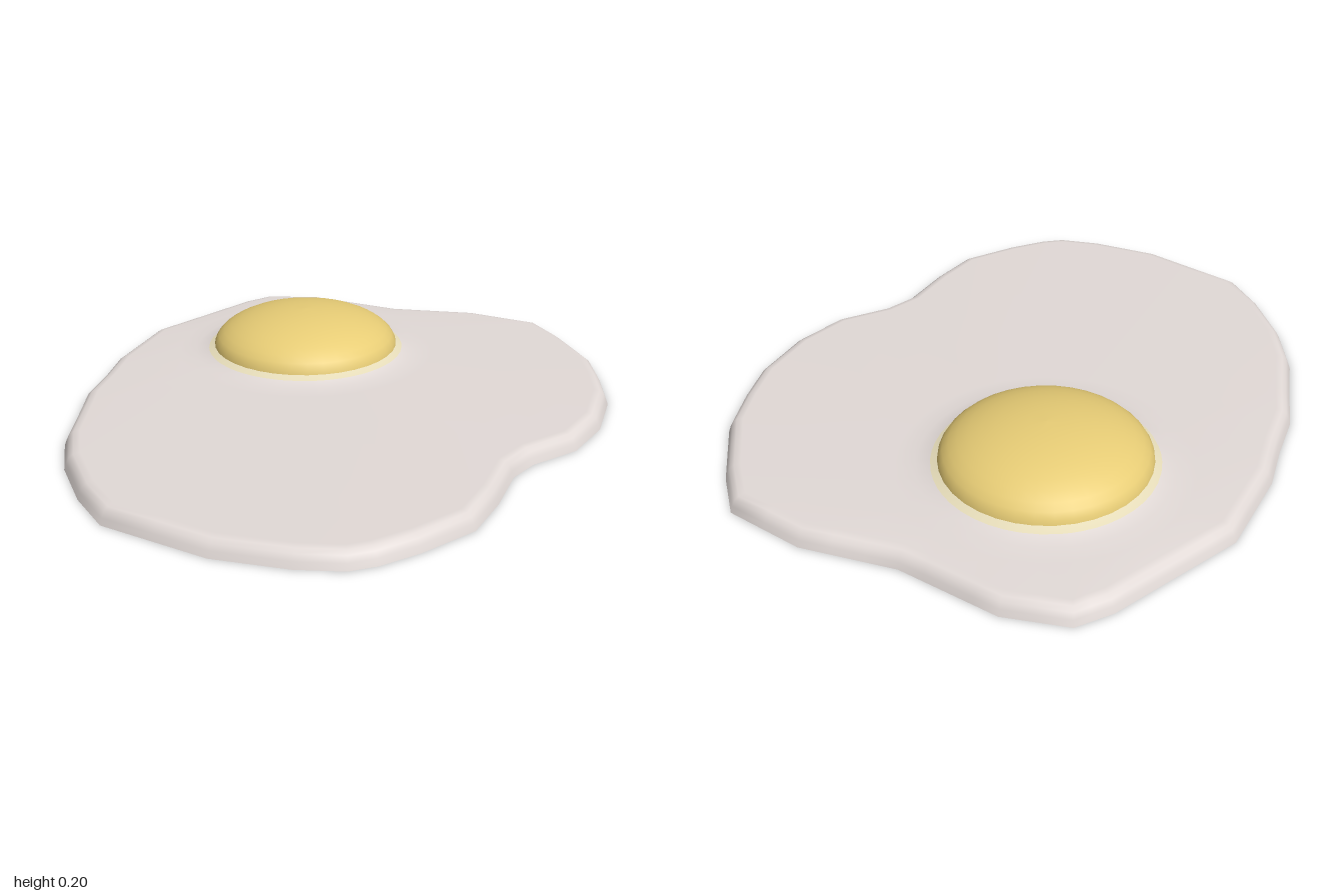
import * as THREE from 'three';

const YOLK = new THREE.Vector2(-0.235, -0.405);

// Outline of the egg white as (x, z) corners
const OUTLINE = [
  [-0.05, -0.955], [0.25, -1], [0.51, -0.96], [0.62, -0.84], [0.69, -0.74], [0.76, -0.64],
  [0.81, -0.5], [0.85, -0.35], [0.85, -0.14], [0.8, 0.04], [0.69, 0.18], [0.65, 0.28],
  [0.64, 0.46], [0.61, 0.63], [0.5, 0.79], [0.41, 0.89], [0.34, 0.94], [0.2, 0.975],
  [-0.03, 0.99], [-0.38, 0.915], [-0.51, 0.8], [-0.64, 0.64], [-0.72, 0.49], [-0.78, 0.29],
  [-0.815, 0.18], [-0.83, 0.02], [-0.855, -0.14], [-0.845, -0.44], [-0.74, -0.66],
  [-0.65, -0.85], [-0.575, -0.945], [-0.38, -0.995],
].map(([x, z]) => new THREE.Vector2(x, z));

// Split long edges so the rings around the yolk stay round
function subdivide(points) {
  const result = [];
  points.forEach((p, i) => {
    const q = points[(i + 1) % points.length];
    const a = p.clone().sub(YOLK), b = q.clone().sub(YOLK);
    const turn = Math.abs(Math.atan2(a.cross(b), a.dot(b)));
    const n = Math.max(1, Math.ceil(turn / 0.17));
    for (let k = 0; k < n; k++) result.push(p.clone().lerp(q, k / n));
  });
  return result;
}

function eggWhiteGeometry() {
  const outline = subdivide(OUTLINE);
  const n = outline.length;
  const positions = [], indices = [];

  // Ring that follows the outline, moved inward
  const insetRing = (inset, y) => outline.forEach((p, i) => {
    const t = outline[(i + 1) % n].clone().sub(outline[(i + n - 1) % n]).normalize();
    positions.push(p.x - t.y * inset, y, p.y + t.x * inset);
  });
  // Circular ring around the yolk
  const roundRing = (r, y) => outline.forEach((p) => {
    const d = p.clone().sub(YOLK).setLength(r).add(YOLK);
    positions.push(d.x, y, d.y);
  });

  // Rounded rim, flat top, then the swell up to the yolk
  [[0, 0], [0.007, 0.02], [0.016, 0.038], [0.03, 0.048], [0.05, 0.052]]
    .forEach(([inset, y]) => insetRing(inset, y));
  [[0.45, 0.056], [0.39, 0.06], [0.345, 0.068], [0.325, 0.08], [0.3, 0.084]]
    .forEach(([r, y]) => roundRing(r, y));

  const rings = 10;
  for (let r = 0; r < rings - 1; r++) {
    for (let i = 0; i < n; i++) {
      const a = r * n + i, b = r * n + (i + 1) % n;
      indices.push(a, a + n, b, b, a + n, b + n);
    }
  }

  // Flat underside with its own hard-edged ring
  const base = rings * n;
  insetRing(0, 0);
  positions.push(YOLK.x, 0, YOLK.y);
  for (let i = 0; i < n; i++) indices.push(base + n, base + i, base + (i + 1) % n);

  const geometry = new THREE.BufferGeometry();
  geometry.setAttribute('position', new THREE.Float32BufferAttribute(positions, 3));
  geometry.setIndex(indices);
  geometry.computeVertexNormals();
  // Innermost two bands take the cream colour
  geometry.addGroup(0, 7 * n * 6, 0);
  geometry.addGroup(7 * n * 6, 2 * n * 6, 1);
  geometry.addGroup(9 * n * 6, n * 3, 0);
  return geometry;
}

export function createModel() {
  const white = new THREE.MeshStandardMaterial({ color: 0xe2dad7 });
  white.name = 'eggWhite';
  const cream = new THREE.MeshStandardMaterial({ color: 0xeee4c0 });
  cream.name = 'cream';
  const yellow = new THREE.MeshStandardMaterial({ color: 0xf3d77c });
  yellow.name = 'yolkYellow';

  const group = new THREE.Group();
  group.name = 'friedEgg';

  const eggWhite = new THREE.Mesh(eggWhiteGeometry(), [white, cream]);
  eggWhite.name = 'eggWhite';
  group.add(eggWhite);

  // Domed yolk
  const profile = [];
  for (let i = 0; i <= 10; i++) {
    const a = (i / 10) * Math.PI / 2;
    profile.push(new THREE.Vector2(i === 10 ? 0 : 0.325 * Math.cos(a), 0.075 + 0.13 * Math.sin(a)));
  }
  const yolk = new THREE.Mesh(new THREE.LatheGeometry(profile, 36), yellow);
  yolk.name = 'yolk';
  yolk.position.set(YOLK.x, 0, YOLK.y);
  group.add(yolk);

  return group;
}
